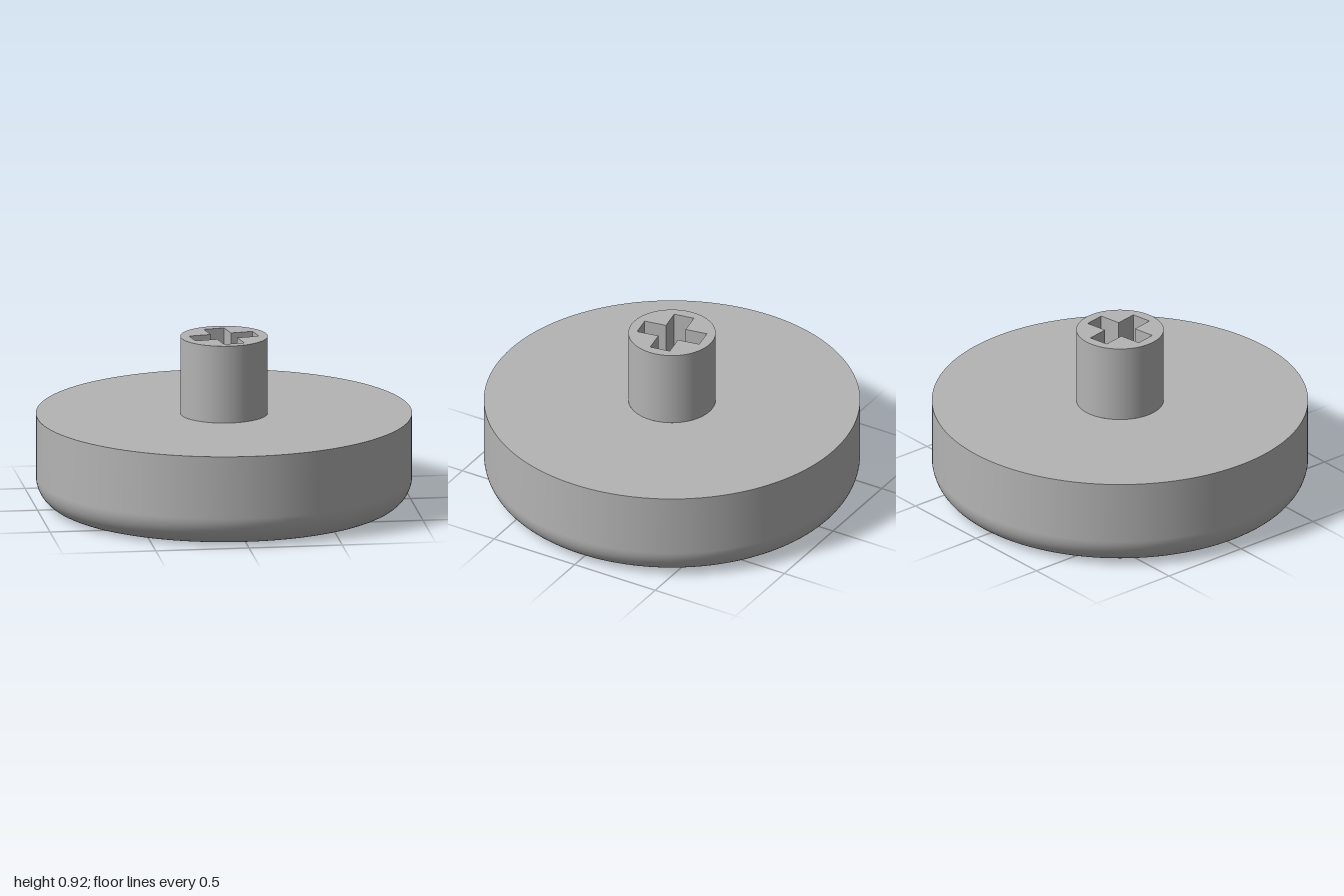
import * as THREE from 'three';
import { toCreasedNormals } from 'three/addons/utils/BufferGeometryUtils.js';

const SEG = 144;
const rad = THREE.MathUtils.degToRad;

// points on a circular arc, angles in degrees
function arc(cx, cy, r, from, to, n) {
  return Array.from({ length: n + 1 }, (_, i) => {
    const a = rad(from + ((to - from) * i) / n);
    return new THREE.Vector2(cx + r * Math.cos(a), cy + r * Math.sin(a));
  });
}

// side walls of a pocket sunk from z = 0 to z = -depth, facing inwards
function pocketWalls(pts, depth) {
  const pos = [];
  pts.forEach((p, i) => {
    const q = pts[(i + 1) % pts.length];
    pos.push(p.x, p.y, 0, q.x, q.y, 0, q.x, q.y, -depth);
    pos.push(p.x, p.y, 0, q.x, q.y, -depth, p.x, p.y, -depth);
  });
  const g = new THREE.BufferGeometry();
  g.setAttribute('position', new THREE.Float32BufferAttribute(pos, 3));
  return toCreasedNormals(g, 0.5);
}

// flat round face in the XY plane with sunken pockets
function pocketedFace(name, radius, pockets, depth, material) {
  const group = new THREE.Group();
  group.name = name;
  const add = (geo, part) => {
    const m = new THREE.Mesh(geo, material);
    m.name = part;
    group.add(m);
    return m;
  };
  const outline = new THREE.Shape(arc(0, 0, radius, 0, 360, SEG).slice(0, -1));
  for (const { label, points } of pockets) {
    const pts = THREE.ShapeUtils.isClockWise(points) ? points.slice().reverse() : points;
    outline.holes.push(new THREE.Path(pts));
    add(pocketWalls(pts, depth), label + 'Walls');
    add(new THREE.ShapeGeometry(new THREE.Shape(pts)), label + 'Floor').position.z = -depth;
  }
  add(new THREE.ShapeGeometry(outline), name + 'Surface');
  return group;
}

export function createModel() {
  const model = new THREE.Group();
  model.name = 'roundCap';
  const grey = new THREE.MeshStandardMaterial({ color: 0xb4b4b4 });
  grey.name = 'grey';
  const add = (geo, name) => {
    const m = new THREE.Mesh(geo, grey);
    m.name = name;
    model.add(m);
    return m;
  };

  const bodyTop = 0.5, fillet = 0.16, flat = 1 - fillet;
  const stemR = 0.232, stemTop = 0.92;

  // rounded lower edge and straight side
  const profile = arc(flat, fillet, fillet, -90, 0, 14);
  profile.push(new THREE.Vector2(1, bodyTop));
  add(new THREE.LatheGeometry(profile, SEG), 'bodySide');

  // flat deck around the stem
  const deck = add(new THREE.RingGeometry(stemR, 1, SEG), 'deck');
  deck.rotation.x = -Math.PI / 2;
  deck.position.y = bodyTop;

  // stem
  const stem = add(new THREE.CylinderGeometry(stemR, stemR, stemTop - bodyTop, 72, 1, true), 'stem');
  stem.position.y = (stemTop + bodyTop) / 2;

  // cross socket, turned ten degrees
  const L = 0.177, W = 0.056, cross = [];
  for (let k = 0; k < 4; k++) {
    for (const [x, y] of [[W, -W], [L, -W], [L, W]]) {
      cross.push(new THREE.Vector2(x, y).rotateAround(new THREE.Vector2(), rad(10 + 90 * k)));
    }
  }
  const socket = pocketedFace('stemTop', stemR, [{ label: 'crossSocket', points: cross }], 0.38, grey);
  socket.rotation.x = -Math.PI / 2;
  socket.position.y = stemTop;
  model.add(socket);

  // underside with an engraved open ring and triangle
  const ring = [
    ...arc(-0.135, 0.161, 0.333, -22, 283, 72),
    ...arc(-0.135, 0.161, 0.217, 283, -22, 72),
  ];
  const triangle = arc(0.251, -0.36, 0.262, 41, 281, 2);
  const underside = pocketedFace('underside', flat, [
    { label: 'ringGroove', points: ring },
    { label: 'triangleGroove', points: triangle },
  ], 0.05, grey);
  const a = rad(145);
  underside.setRotationFromMatrix(new THREE.Matrix4().makeBasis(
    new THREE.Vector3(Math.cos(a), 0, -Math.sin(a)),
    new THREE.Vector3(Math.sin(a), 0, Math.cos(a)),
    new THREE.Vector3(0, -1, 0),
  ));
  model.add(underside);

  return model;
}
